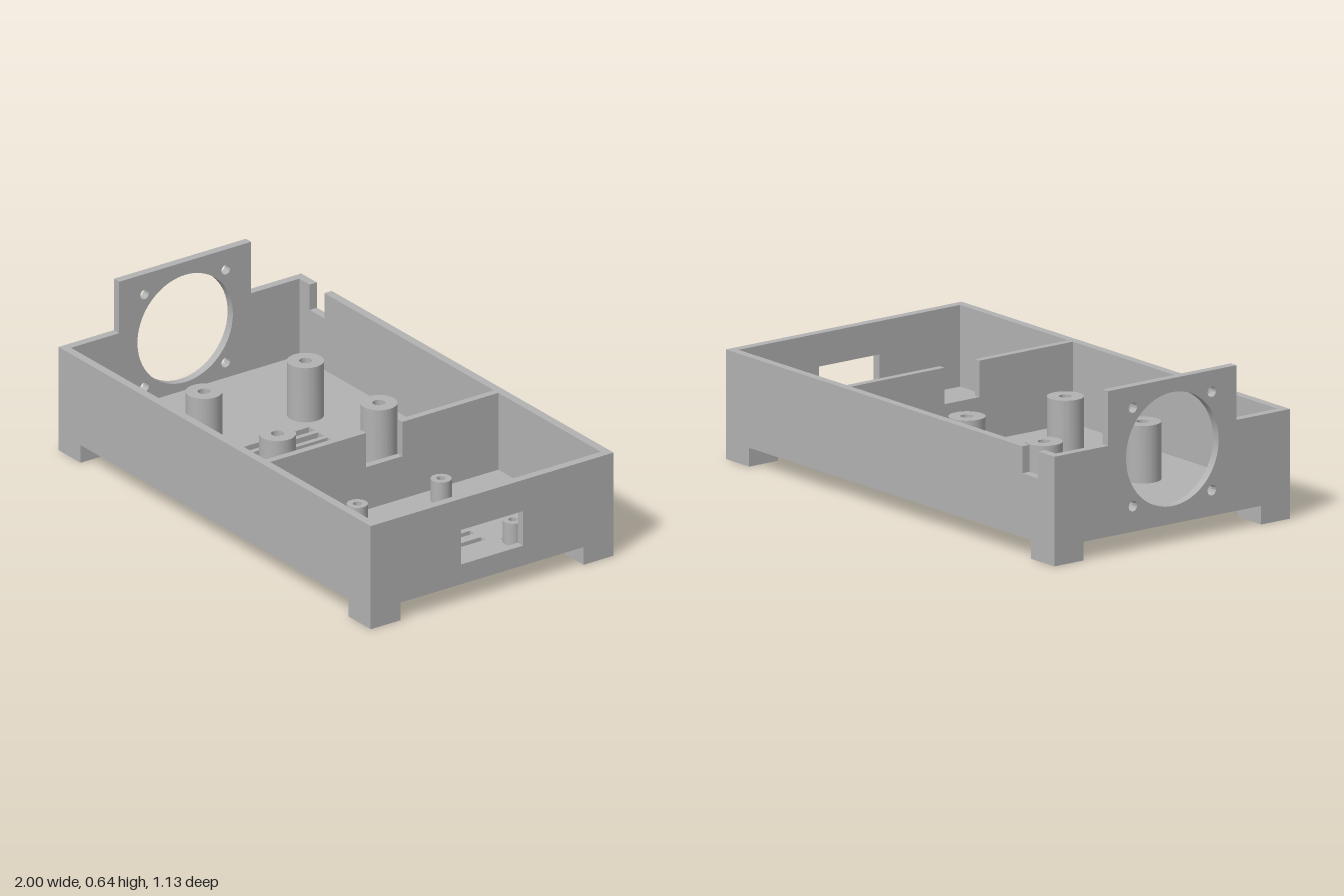
import * as THREE from 'three';
import { toCreasedNormals } from 'three/addons/utils/BufferGeometryUtils.js';

const W = 1, D = 0.565;             // half length, half depth
const T = 0.034;                    // wall thickness
const BASE = 0.073, FLOOR = 0.109, RIM = 0.427;

const polygon = (pts) => new THREE.Shape(pts.map(([a, b]) => new THREE.Vector2(a, b)));
const rect = (a0, b0, a1, b1) => polygon([[a0, b0], [a1, b0], [a1, b1], [a0, b1]]);
const circle = (a, b, r) => new THREE.Shape().absarc(a, b, r, 0, Math.PI * 2, false);
const hexagon = (a, b, r) => polygon([0, 1, 2, 3, 4, 5].map((i) =>
  [a + r * Math.cos(i * Math.PI / 3), b + r * Math.sin(i * Math.PI / 3)]));

function plate(shape, holes, depth) {
  shape.holes.push(...holes);
  const g = new THREE.ExtrudeGeometry(shape, { depth, bevelEnabled: false, curveSegments: 40 });
  return toCreasedNormals(g, 0.5);
}
// shape drawn in (x, z), extruded down from y = top
const flat = (shape, holes, top, depth) =>
  plate(shape, holes, depth).rotateX(Math.PI / 2).translate(0, top, 0);
// shape drawn in (z, y), extruded towards -x from x = right
const across = (shape, holes, right, depth) =>
  plate(shape, holes, depth).rotateY(-Math.PI / 2).translate(right, 0, 0);

export function createModel() {
  const group = new THREE.Group();
  const grey = new THREE.MeshStandardMaterial({ color: 0xb2b2b2 });
  grey.name = 'grey plastic';
  const add = (name, geometry) => {
    const mesh = new THREE.Mesh(geometry, grey);
    mesh.name = name;
    group.add(mesh);
  };

  const boardPosts = [], smallPosts = [];
  for (const z of [-0.236, 0.236]) for (const x of [-0.52, -0.05]) boardPosts.push([x, z]);
  for (const z of [-0.195, 0.195]) for (const x of [0.405, 0.865]) smallPosts.push([x, z]);

  // Floor with vent slots and fastener recesses below the posts
  const cuts = [];
  for (let i = -2; i <= 2; i++) {
    const a = -0.284 + i * 0.059, b = 0.636 + i * 0.0705;
    cuts.push(rect(a - 0.019, -0.18, a + 0.019, 0.18));
    cuts.push(rect(b - 0.014, -0.12, b + 0.014, 0.12));
  }
  for (const [x, z] of boardPosts) cuts.push(hexagon(x, z, 0.04));
  for (const [x, z] of smallPosts) if (x > 0.5) cuts.push(rect(0.82, z - 0.024, 0.867, z + 0.024));
  add('floor', flat(rect(-W + T, -D + T, W - T, D - T), cuts, FLOOR, FLOOR - BASE));

  // Hollow standoffs
  for (const [x, z] of boardPosts)
    add('boardStandoff', flat(circle(x, z, 0.07), [circle(x, z, 0.024)], 0.333, 0.333 - FLOOR));
  for (const [x, z] of smallPosts)
    add('smallStandoff', flat(circle(x, z, 0.04), [circle(x, z, 0.017)], 0.2, 0.2 - FLOOR));

  // Front wall, and back wall with a cable notch
  add('frontWall', plate(rect(-W, BASE, W, RIM), [], T).translate(0, 0, D - T));
  add('backWall', plate(polygon([[-W, BASE], [W, BASE], [W, RIM], [-0.805, RIM],
    [-0.805, 0.322], [-0.9, 0.322], [-0.9, RIM], [-W, RIM]]), [], T).translate(0, 0, -D));

  // End wall with a port opening
  const e = D - T;
  add('portWall', across(rect(-e, BASE, e, RIM), [rect(-0.144, 0.155, 0.144, 0.298)], W, T));

  // End wall rising into the fan mount
  const fanY = 0.364, fanHoles = [circle(0, fanY, 0.222)];
  for (const sz of [-1, 1]) for (const sy of [-1, 1])
    fanHoles.push(circle(sz * 0.189, fanY + sy * 0.192, 0.02));
  add('fanWall', across(polygon([[-e, BASE], [e, BASE], [e, RIM], [0.307, RIM], [0.307, 0.64],
    [-0.307, 0.64], [-0.307, RIM], [-e, RIM]]), fanHoles, -W + T, T));

  // Divider with a cable notch
  add('divider', across(polygon([[-e, FLOOR], [e, FLOOR], [e, RIM], [0.084, RIM], [0.084, 0.285],
    [-0.084, 0.285], [-0.084, RIM], [-e, RIM]]), [], 0.309, 0.029));

  // Corner feet
  for (const sx of [-1, 1]) for (const sz of [-1, 1])
    add('foot', new THREE.BoxGeometry(0.142, BASE, 0.139)
      .translate(sx * (W - 0.071), BASE / 2, sz * (D - 0.0695)));

  return group;
}
